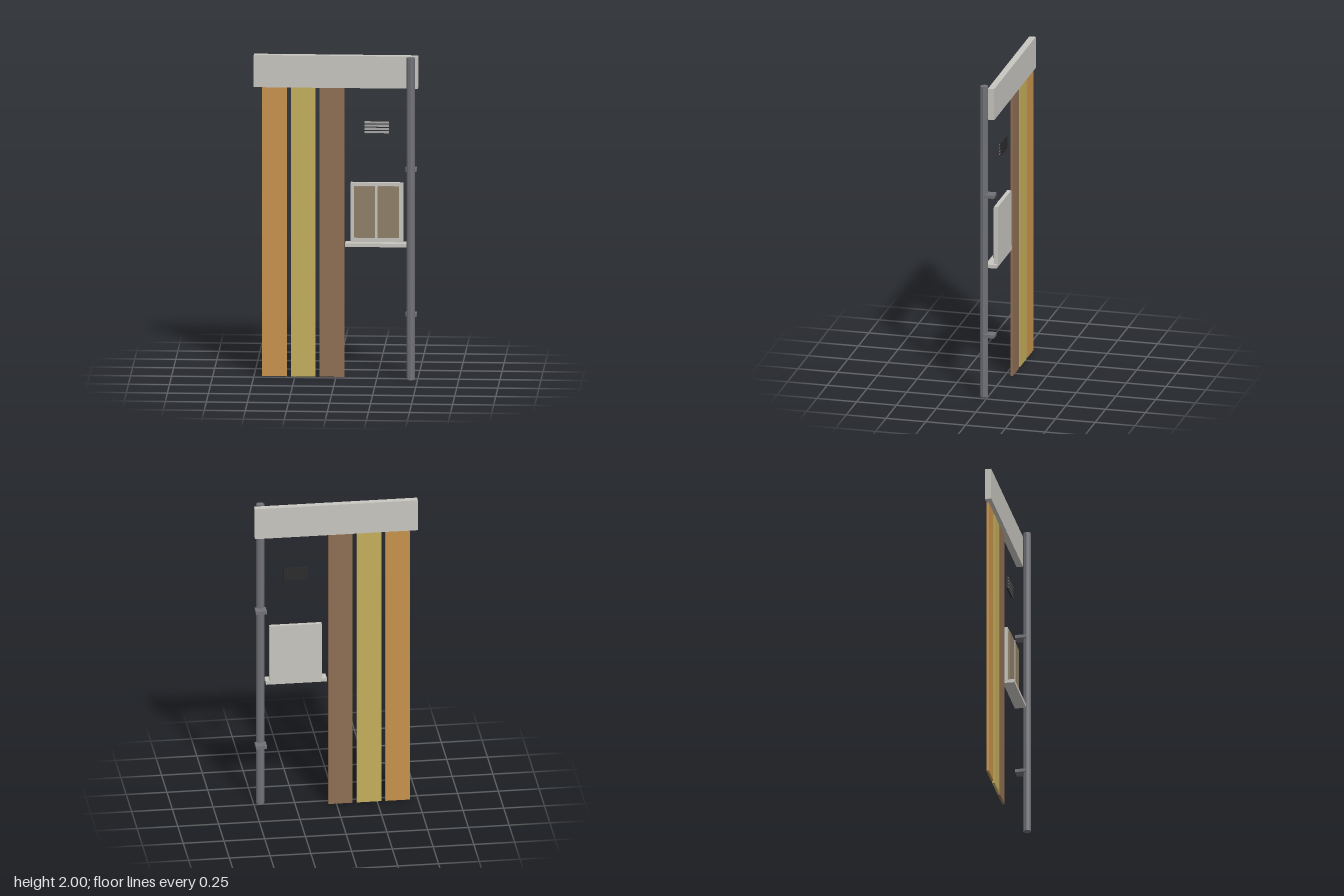
import * as THREE from 'three';

const mat = (name, color) => Object.assign(new THREE.MeshStandardMaterial({ color }), { name });

export function createModel() {
  const model = new THREE.Group();
  model.name = 'facadeParts';
  const stone = mat('pale stone', 0xc8c6c0);
  const orange = mat('orange wood', 0xc8934c);
  const yellow = mat('yellow wood', 0xc5b05d);
  const brown = mat('brown wood', 0x8f6f54);
  const glass = mat('bronze glass', 0x8f8069);
  const metal = mat('pipe grey', 0x717278);
  const slatGrey = mat('slat grey', 0x808080);
  const dark = mat('vent dark', 0x2b2b2d);

  // Box given by its lower and upper limits on each axis
  const box = (name, material, [x0, x1], [y0, y1], [z0, z1], parent = model) => {
    const mesh = new THREE.Mesh(new THREE.BoxGeometry(x1 - x0, y1 - y0, z1 - z0), material);
    mesh.position.set((x0 + x1) / 2, (y0 + y1) / 2, (z0 + z1) / 2);
    mesh.name = name;
    parent.add(mesh);
    return mesh;
  };

  // Top fascia and the three cladding boards
  box('fascia', stone, [-0.5, 0.5], [1.8, 2], [-0.05, -0.01]);
  [orange, yellow, brown].forEach((m, i) => {
    const x = -0.45 + i * 0.175;
    box('board' + (i + 1), m, [x, x + 0.15], [0, 1.8], [-0.05, -0.035]);
  });

  // Window with frame, pane, mullion and sill
  const win = new THREE.Group();
  win.name = 'window';
  model.add(win);
  box('windowFrame', stone, [0.09, 0.41], [0.84, 1.21], [-0.05, -0.025], win);
  box('windowPane', glass, [0.11, 0.385], [0.87, 1.19], [-0.025, -0.013], win);
  box('mullion', stone, [0.24, 0.255], [0.87, 1.19], [-0.02, -0.007], win);
  box('sill', stone, [0.058, 0.432], [0.82, 0.842], [-0.047, 0.023], win);

  // Vent: dark backing with tilted slats
  const vent = new THREE.Group();
  vent.name = 'vent';
  model.add(vent);
  box('ventBack', dark, [0.173, 0.323], [1.512, 1.592], [-0.049, -0.04], vent);
  for (let i = 0; i < 4; i++) {
    const y = 1.522 + i * 0.02;
    const slat = box('slat' + (i + 1), slatGrey, [0.173, 0.323], [y - 0.007, y + 0.007], [-0.041, -0.036], vent);
    slat.rotation.x = -0.5;
  }

  // Downpipe and its wall brackets
  const pipe = new THREE.Mesh(new THREE.CylinderGeometry(0.025, 0.025, 2, 8), metal.clone());
  pipe.material = metal;
  pipe.geometry = pipe.geometry.toNonIndexed();
  pipe.geometry.computeVertexNormals();
  pipe.position.set(0.458, 1, 0.024);
  pipe.name = 'downpipe';
  model.add(pipe);
  for (const y of [0.4, 1.3]) {
    box('pipeBracket', metal, [0.425, 0.493], [y - 0.01, y + 0.01], [-0.046, 0.023]);
  }
  return model;
}
